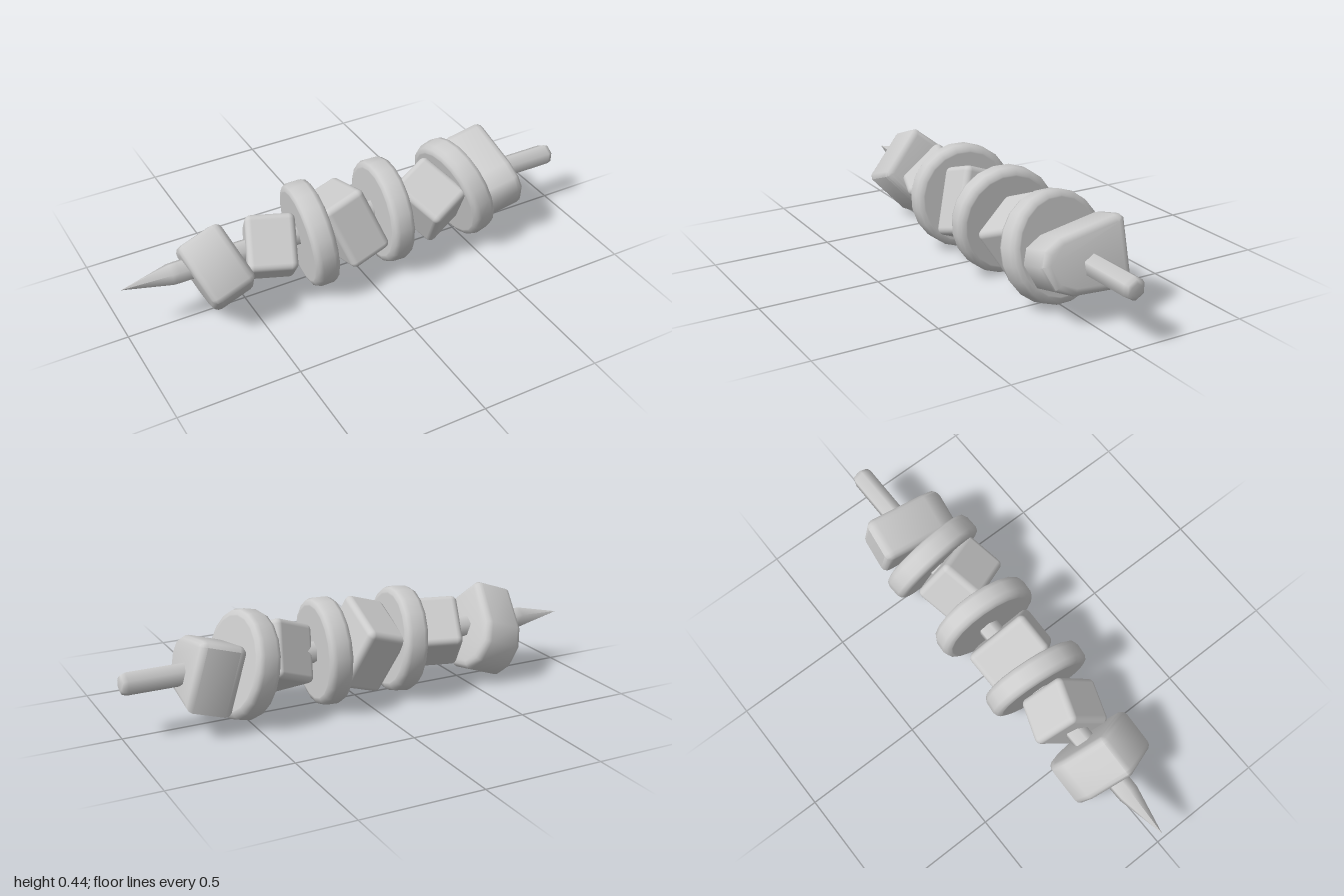
import * as THREE from 'three';
import { toCreasedNormals } from 'three/addons/utils/BufferGeometryUtils.js';
import { RoundedBoxGeometry } from 'three/addons/geometries/RoundedBoxGeometry.js';

const material = new THREE.MeshStandardMaterial({ color: 0xcccccc });
const CENTRE_Y = 0.22;
const rad = THREE.MathUtils.degToRad;

// Solid of revolution around the x axis from [x, radius] pairs, low x first
function turned(pairs, sides) {
  const points = pairs.map(([x, r]) => new THREE.Vector2(r, x));
  return new THREE.LatheGeometry(points, sides).rotateY(Math.PI / sides).rotateZ(-Math.PI / 2);
}

// Round slice with flat faces and a narrow rounded rim
function sliceGeometry(radius, thickness) {
  const h = thickness / 2;
  const b = 0.026;
  return turned([
    [-h, 0], [-h, radius - b - 0.006], [-h, radius - b], [-h + b * 0.3, radius - b * 0.3], [-h + b, radius],
    [h - b, radius], [h - b * 0.3, radius - b * 0.3], [h, radius - b], [h, radius - b - 0.006], [h, 0],
  ], 20);
}

// D-shaped wedge: flat at -z, rounded at +z, thick along x
function wedgeGeometry(outline, thickness) {
  const bevel = 0.03;
  const shape = new THREE.Shape(outline.map(([z, y]) => new THREE.Vector2(-z, y)));
  const geometry = new THREE.ExtrudeGeometry(shape, {
    depth: thickness - 2 * bevel, bevelEnabled: true, bevelThickness: bevel,
    bevelSize: bevel, bevelOffset: -bevel, bevelSegments: 3,
  });
  geometry.translate(0, 0, bevel - thickness / 2).rotateY(Math.PI / 2);
  return toCreasedNormals(geometry, 0.8);
}

export function createModel() {
  const group = new THREE.Group();

  // spin turns a piece around the stick; yaw and tilt lean it
  function add(name, geometry, x, [spin, yaw, tilt] = [0, 0, 0], y = CENTRE_Y, z = 0) {
    const mesh = new THREE.Mesh(geometry, material);
    mesh.name = name;
    mesh.position.set(x, y, z);
    mesh.rotation.set(rad(spin), rad(yaw), rad(tilt), 'ZYX');
    group.add(mesh);
  }

  // Six-sided stick with a sharp point
  add('stick', turned([
    [-1, 0], [-0.8, 0.046], [-0.77, 0.047], [0.975, 0.047], [0.993, 0.04], [1, 0.026], [1, 0],
  ], 6), 0, [0, 0, 0], 0.225, -0.013);

  // Wedges at both ends
  const endOutline = [
    [-0.165, -0.137], [0.075, -0.127], [0.15, -0.095], [0.192, 0],
    [0.172, 0.06], [0.105, 0.098], [-0.13, 0.142], [-0.155, 0.14], [-0.17, 0.125],
  ];
  const startOutline = [
    [-0.165, -0.115], [-0.15, -0.133], [0.05, -0.15], [0.13, -0.12], [0.183, -0.04],
    [0.183, 0.04], [0.13, 0.12], [0.05, 0.15], [-0.15, 0.133], [-0.165, 0.115],
  ];
  add('startWedge', wedgeGeometry(startOutline, 0.195), -0.612, [135, 2, 20], 0.193, -0.01);
  add('endWedge', wedgeGeometry(endOutline, 0.19), 0.652, [0, -6, 16], 0.23, -0.006);

  // Rounded cubes: x, z, width, side, [spin, yaw, tilt]
  const cubes = [
    [-0.38, 0.005, 0.2, 0.23, [45, -20, -2]],
    [-0.038, 0.003, 0.185, 0.285, [-20, 3, 18]],
    [0.343, 0.03, 0.2, 0.245, [32, 15, 22]],
  ];
  for (const [x, z, width, side, turn] of cubes) {
    add('cube', new RoundedBoxGeometry(width, side, side, 3, 0.026), x, turn, CENTRE_Y, z);
  }

  // Round slices: x, thickness, [spin, yaw, tilt]
  const slices = [
    [-0.2, 0.103, [0, -6, 6]],
    [0.143, 0.1, [0, -4, 1]],
    [0.495, 0.105, [0, 5, 14]],
  ];
  for (const [x, thickness, turn] of slices) {
    add('slice', sliceGeometry(0.221, thickness), x, turn);
  }

  return group;
}
